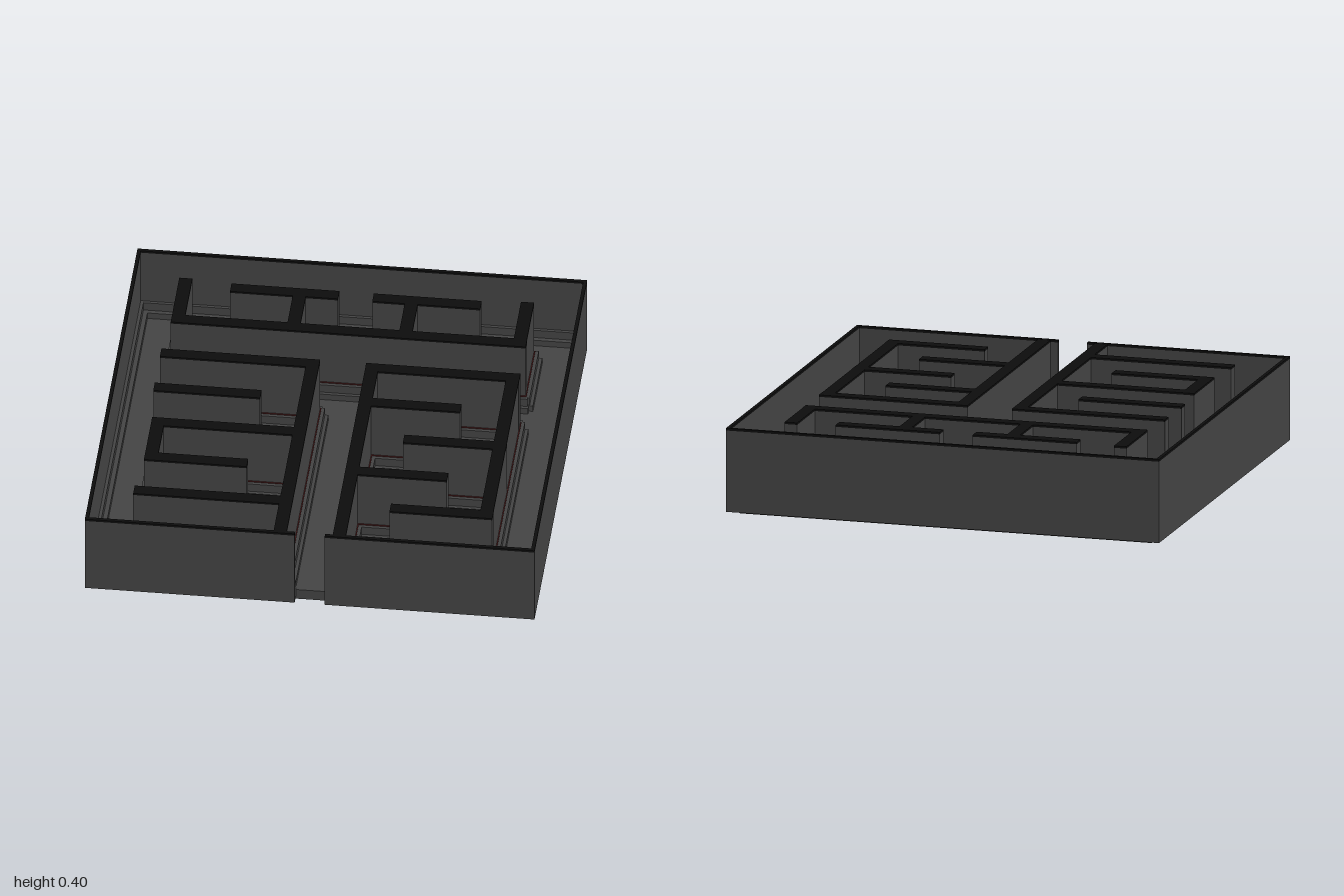
import * as THREE from 'three';

const grey = new THREE.MeshStandardMaterial({ color: 0x444444 });
grey.name = 'stone grey';
const black = new THREE.MeshStandardMaterial({ color: 0x0d0d0d });
black.name = 'cap black';
const red = new THREE.MeshStandardMaterial({ color: 0x4a1c1c });
red.name = 'dark red trim';

// Heights
const UNDER = 0.015, FLOOR = 0.05, STEP1 = 0.08, STEP2 = 0.12, CAP = 0.385, TOP = 0.395;
const HALF = 0.029; // half thickness of an inner wall
const GAP = 0.067; // half width of the entrance

// Box given by its extents
function block(parent, name, mat, x0, x1, y0, y1, z0, z1) {
  const mesh = new THREE.Mesh(new THREE.BoxGeometry(x1 - x0, y1 - y0, z1 - z0), mat);
  mesh.position.set((x0 + x1) / 2, (y0 + y1) / 2, (z0 + z1) / 2);
  mesh.name = name;
  parent.add(mesh);
}

// Inner walls as [direction, centre line, start, end]
const walls = [
  // back block
  ['x', -0.512, -0.79, 0.787], ['z', -0.763, -0.81, -0.485], ['z', 0.757, -0.81, -0.485],
  ['x', -0.766, -0.558, -0.078], ['x', -0.766, 0.075, 0.555],
  ['z', -0.25, -0.766, -0.512], ['z', 0.248, -0.766, -0.512],
  // left-hand rooms
  ['z', -0.133, -0.285, 0.985], ['x', -0.256, -0.81, -0.105], ['x', -0.004, -0.81, -0.335],
  ['x', 0.248, -0.79, -0.105], ['z', -0.763, 0.22, 0.532], ['x', 0.504, -0.79, -0.335],
  ['x', 0.757, -0.81, -0.105],
  // right-hand rooms
  ['z', 0.13, -0.285, 0.985], ['x', -0.256, 0.102, 0.787], ['x', -0.004, 0.102, 0.555],
  ['z', 0.757, -0.285, 0.785], ['x', 0.248, 0.33, 0.787], ['x', 0.504, 0.102, 0.555],
  ['x', 0.757, 0.33, 0.787],
];

function innerWall([dir, c, start, end]) {
  const wall = new THREE.Group();
  wall.name = 'innerWall';
  // One layer, widened by side and lengthened by tip
  const layer = (name, mat, y0, y1, side, tip) => {
    const a = start - tip, b = Math.min(end + tip, 0.985);
    const l = c - HALF - side, r = c + HALF + side;
    if (dir === 'x') block(wall, name, mat, a, b, y0, y1, l, r);
    else block(wall, name, mat, l, r, y0, y1, a, b);
  };
  layer('lowerSkirting', grey, FLOOR - 0.01, STEP1, 0.035, 0.015);
  layer('upperSkirting', grey, STEP1 - 0.01, STEP2, 0.02, 0.01);
  layer('trim', red, STEP2 - 0.005, STEP2 + 0.004, 0.005, 0.004);
  layer('wallBody', grey, STEP2 - 0.01, CAP, 0, 0);
  layer('wallCap', black, CAP, TOP - 0.001, 0, 0);
  return wall;
}

// Outer wall run: side of the square and range along it
function outerWall(side, a, b) {
  const wall = new THREE.Group();
  wall.name = 'outerWall';
  const layer = (name, mat, y0, y1, depth) => {
    if (side === 'front') block(wall, name, mat, a, b, y0, y1, 1 - depth, 1);
    if (side === 'back') block(wall, name, mat, a, b, y0, y1, -1, -1 + depth);
    if (side === 'left') block(wall, name, mat, 1 - depth, 1, y0, y1, a, b);
    if (side === 'right') block(wall, name, mat, -1, -1 + depth, y0, y1, a, b);
  };
  layer('lowerSkirting', grey, UNDER, STEP1, 0.05);
  layer('upperSkirting', grey, STEP1, STEP2, 0.03);
  layer('wallBody', grey, STEP2, CAP, 0.016);
  layer('wallCap', black, CAP, TOP, 0.016);
  return wall;
}

export function createModel() {
  const model = new THREE.Group();
  model.name = 'maze';
  block(model, 'floor', grey, -0.95, 0.95, 0, FLOOR, -0.95, 0.95);
  model.add(
    outerWall('back', -1, 1), outerWall('left', -1, 1), outerWall('right', -1, 1),
    outerWall('front', -1, -GAP), outerWall('front', GAP, 1),
  );
  walls.forEach((w) => model.add(innerWall(w)));
  return model;
}
